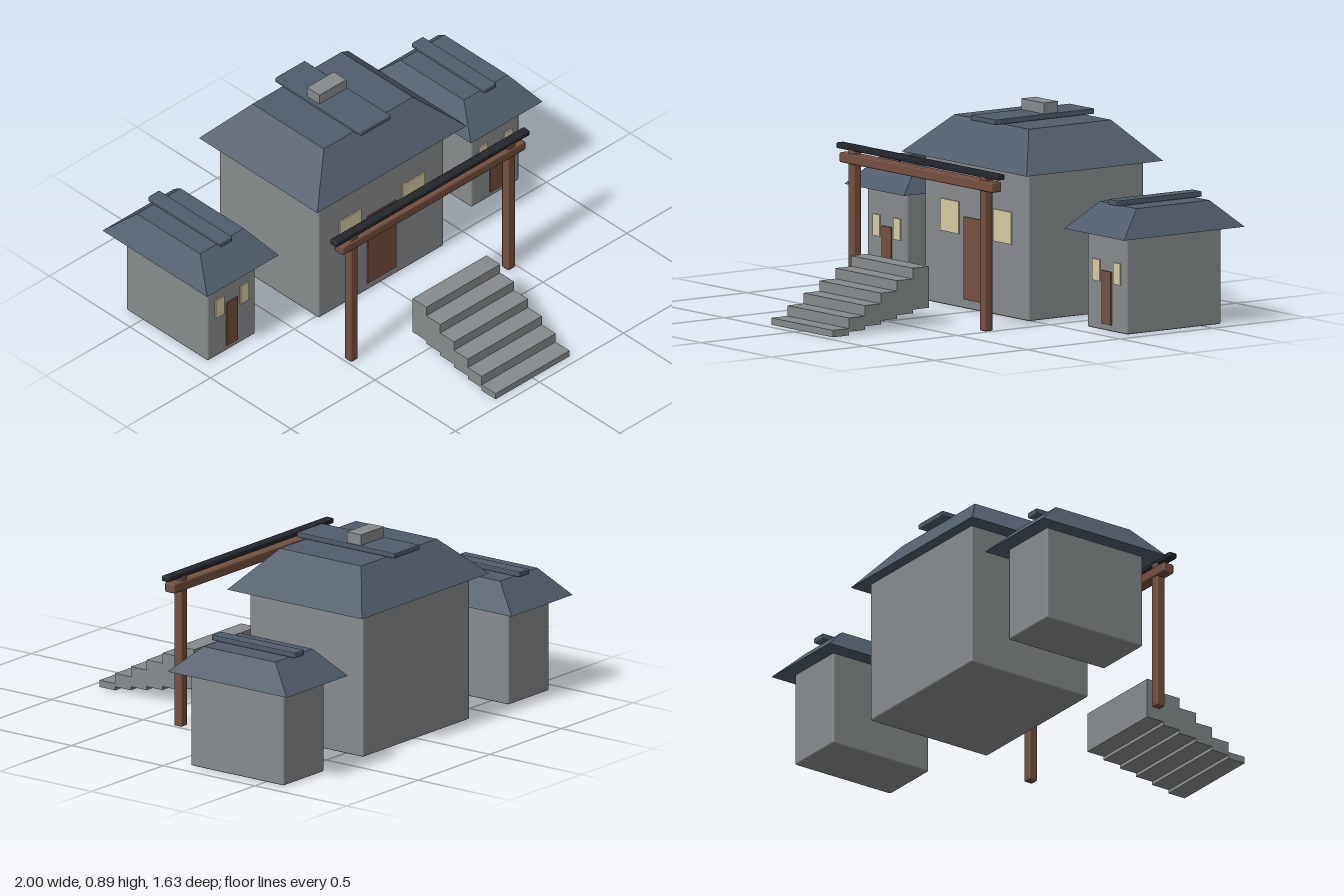
import * as THREE from 'three';
import { RoundedBoxGeometry } from 'three/addons/geometries/RoundedBoxGeometry.js';

const mat = (color) => new THREE.MeshStandardMaterial({ color });
const stone = mat(0x878b8d);
const slate = mat(0x505c6b);
const wood = mat(0x75503f);
const glass = mat(0xd8cba0);
const dark = mat(0x24272d);

// Box given by its extents [min, max] on each axis; bevel > 0 softens the edges
function box(parent, name, material, [x0, x1], [y0, y1], [z0, z1], bevel = 0) {
  const size = [x1 - x0, y1 - y0, z1 - z0];
  const geometry = bevel
    ? new RoundedBoxGeometry(...size, 1, bevel)
    : new THREE.BoxGeometry(...size);
  const mesh = new THREE.Mesh(geometry, material);
  mesh.name = name;
  mesh.position.set((x0 + x1) / 2, (y0 + y1) / 2, (z0 + z1) / 2);
  parent.add(mesh);
  return mesh;
}

// Hipped roof: a box whose top face is pulled in to a smaller rectangle
function hipRoof(parent, [y0, y1], baseX, baseZ, topX, topZ) {
  const geometry = new THREE.BoxGeometry(1, 1, 1);
  const p = geometry.attributes.position;
  for (let i = 0; i < p.count; i++) {
    const top = p.getY(i) > 0;
    const x = (top ? topX : baseX) * Math.sign(p.getX(i));
    const z = (top ? topZ : baseZ)[p.getZ(i) > 0 ? 1 : 0];
    p.setXYZ(i, x, top ? y1 : y0, z);
  }
  geometry.computeVertexNormals();
  const mesh = new THREE.Mesh(geometry, slate);
  mesh.name = 'roof';
  parent.add(mesh);
}

function mainHall() {
  const g = new THREE.Group();
  g.name = 'mainHall';
  box(g, 'walls', stone, [-0.372, 0.372], [0, 0.65], [-0.6, 0.018], 0.008);
  hipRoof(g, [0.645, 0.815], 0.445, [-0.65, 0.085], 0.265, [-0.505, -0.063]);
  box(g, 'roofRidge', slate, [-0.088, 0.088], [0.815, 0.838], [-0.55, -0.015], 0.004);
  box(g, 'chimney', stone, [-0.08, 0.08], [0.835, 0.886], [-0.36, -0.283]);
  box(g, 'door', wood, [-0.085, 0.085], [0.04, 0.4], [0, 0.024]);
  for (const s of [-1, 1]) {
    box(g, 'window', glass, [s * 0.188 - 0.065, s * 0.188 + 0.065], [0.32, 0.46], [0, 0.024]);
  }
  return g;
}

function sideHouse(x) {
  const g = new THREE.Group();
  g.name = 'sideHouse';
  box(g, 'walls', stone, [-0.142, 0.142], [0, 0.43], [-0.6, -0.093], 0.008);
  hipRoof(g, [0.425, 0.542], 0.213, [-0.672, -0.022], 0.13, [-0.545, -0.153]);
  box(g, 'roofRidge', slate, [-0.033, 0.033], [0.542, 0.566], [-0.577, -0.122], 0.004);
  box(g, 'door', wood, [-0.033, 0.033], [0.028, 0.26], [-0.11, -0.087]);
  for (const s of [-1, 1]) {
    box(g, 'window', glass, [s * 0.074 - 0.025, s * 0.074 + 0.025], [0.21, 0.304], [-0.11, -0.087]);
  }
  g.position.x = x;
  return g;
}

function gate() {
  const g = new THREE.Group();
  g.name = 'gate';
  for (const s of [-1, 1]) {
    box(g, 'gatePost', wood, [s * 0.468 - 0.021, s * 0.468 + 0.021], [0, 0.675], [0.299, 0.341], 0.006);
  }
  box(g, 'crossbeam', wood, [-0.545, 0.545], [0.61, 0.654], [0.293, 0.348], 0.007);
  box(g, 'topRail', dark, [-0.577, 0.577], [0.667, 0.692], [0.3, 0.341], 0.006);
  return g;
}

// Open-bottomed flight: each higher step is a taller block
function stairs() {
  const g = new THREE.Group();
  g.name = 'stairs';
  for (let i = 0; i < 6; i++) {
    const top = 0.03 + 0.046 * i;
    const front = 0.957 - 0.086 * i;
    box(g, 'step', stone, [-0.22, 0.22], [top - 0.03 * (i + 1), top], [front - 0.086, front]);
  }
  return g;
}

export function createModel() {
  const model = new THREE.Group();
  model.name = 'courtyardBuildings';
  model.add(mainHall(), sideHouse(-0.785), sideHouse(0.785), gate(), stairs());
  return model;
}
